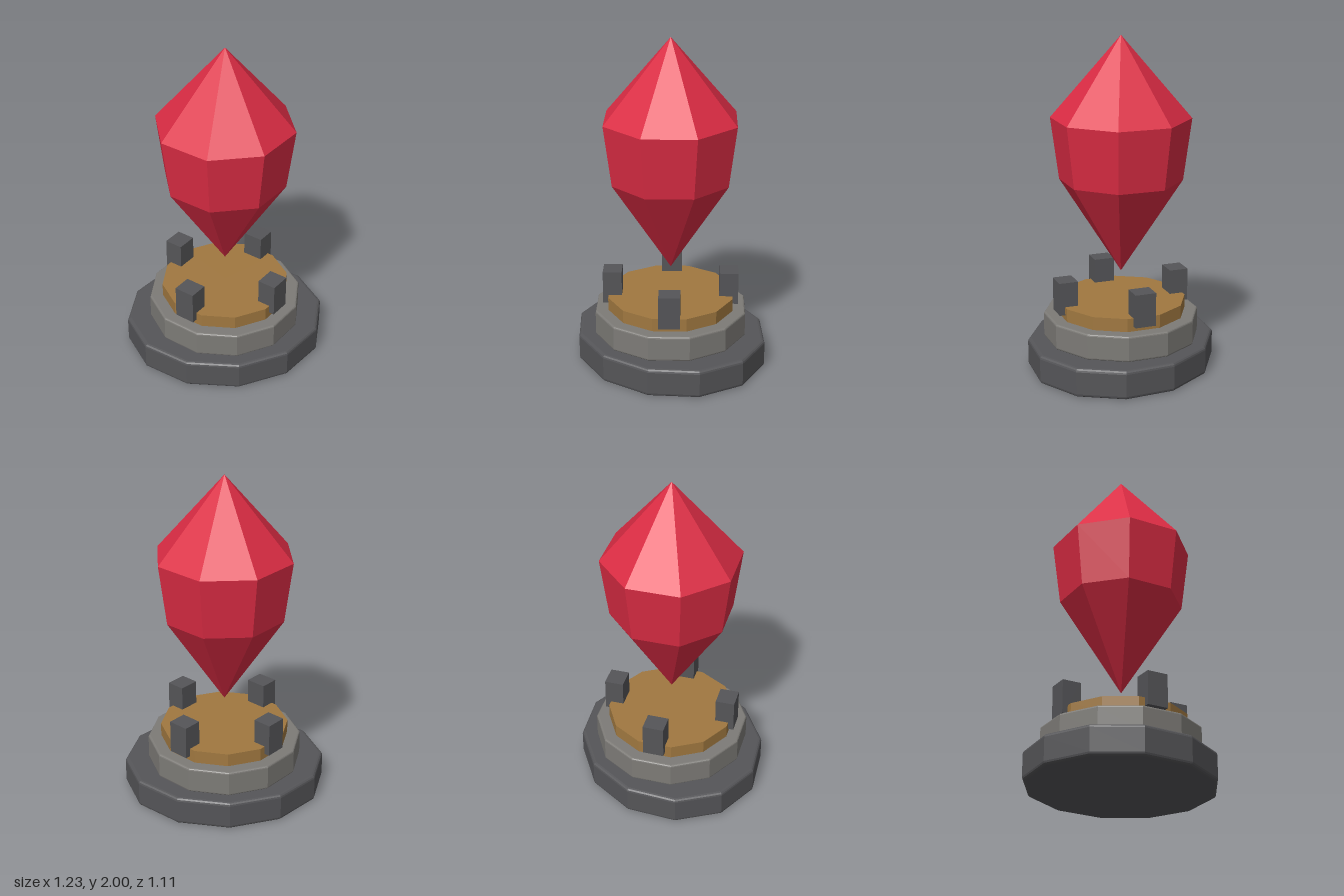
import * as THREE from 'three';

const paint = (color) => new THREE.MeshStandardMaterial({ color, flatShading: true });

// Faceted solid turned around y from [radius, height] points listed bottom to top
function faceted(name, profile, sides, material, start = 0) {
  const points = profile.map(([r, y]) => new THREE.Vector2(r, y));
  const mesh = new THREE.Mesh(new THREE.LatheGeometry(points, sides, start), material);
  mesh.name = name;
  return mesh;
}

// Closed disc profile with rounded rims
function discProfile(radius, bottom, top, bevel, steps = 3) {
  const profile = [[0, bottom]];
  for (const [cy, from] of [[bottom + bevel, -Math.PI / 2], [top - bevel, 0]]) {
    for (let i = 0; i <= steps; i++) {
      const a = from + (i / steps) * (Math.PI / 2);
      profile.push([radius - bevel + bevel * Math.cos(a), cy + bevel * Math.sin(a)]);
    }
  }
  profile.push([0, top]);
  return profile;
}

export function createModel() {
  const model = new THREE.Group();
  model.name = 'crystalPedestal';
  const darkStone = paint(0x555558);

  // Stepped pedestal: the lowest step is stretched along x
  const base = faceted('baseStep', discProfile(0.553, 0, 0.175, 0.02), 12, darkStone);
  base.scale.x = 1.112;
  model.add(base);
  model.add(faceted('middleStep', discProfile(0.469, 0.175, 0.332, 0.012), 12, paint(0x7d7b77)));

  // Gold plate
  const gold = [[0, 0.33], [0.39, 0.33], [0.39, 0.412], [0, 0.412]];
  model.add(faceted('goldPlate', gold, 12, paint(0xa07840)));

  // Four diagonal prongs set into the rim of the plate
  const prongs = new THREE.Group();
  prongs.name = 'prongs';
  const prongShape = new THREE.BoxGeometry(0.127, 0.2, 0.115);
  for (let i = 0; i < 4; i++) {
    const angle = Math.PI / 4 + (i * Math.PI) / 2;
    const prong = new THREE.Mesh(prongShape, darkStone);
    prong.name = 'prong';
    prong.position.set(0.353 * Math.sin(angle), 0.462, 0.353 * Math.cos(angle));
    prong.rotation.y = angle;
    prongs.add(prong);
  }
  model.add(prongs);

  // Floating eight-sided crystal
  const crystal = [[0, 0.58], [0.367, 1.147], [0.416, 1.517], [0, 2]];
  model.add(faceted('crystal', crystal, 8, paint(0xdc2c44), Math.PI / 8));

  return model;
}
